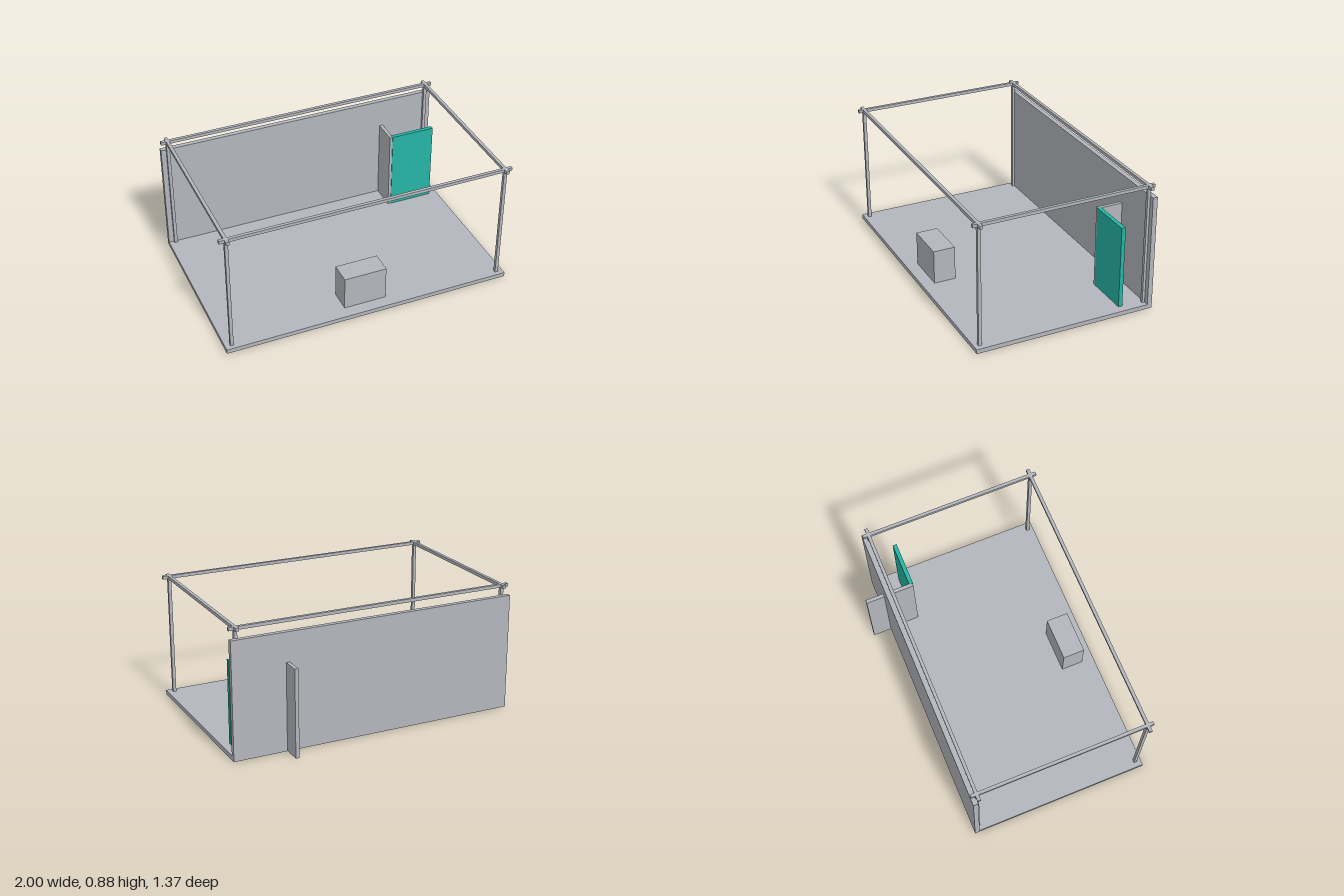
import * as THREE from 'three';

export function createModel() {
  const group = new THREE.Group();
  const grey = new THREE.MeshStandardMaterial({ name: 'light grey', color: 0xb3b6bc });
  const teal = new THREE.MeshStandardMaterial({ name: 'teal', color: 0x26b5a4 });

  // Box given by its lower and upper limits on each axis
  function slab(name, [x0, x1], [y0, y1], [z0, z1], material = grey) {
    const mesh = new THREE.Mesh(new THREE.BoxGeometry(x1 - x0, y1 - y0, z1 - z0), material);
    mesh.position.set((x0 + x1) / 2, (y0 + y1) / 2, (z0 + z1) / 2);
    mesh.name = name;
    group.add(mesh);
  }
  const around = (c, half = 0.011) => [c - half, c + half];

  const depth = [-0.56, 0.687];
  const floorTop = 0.03;
  const beamY = [0.853, 0.875];

  // Platform and back wall
  slab('floor', [-1, 1], [0, floorTop], depth);
  slab('backWall', [-1, 1], [floorTop, 0.8], [-0.56, -0.527]);

  // Frame: posts and beams that cross at the corners
  const frameX = [-0.954, 0.954];
  const frameZ = [-0.52, 0.647];
  for (const x of frameX) {
    slab('sideBeam', around(x), beamY, depth);
    for (const z of frameZ) slab('post', around(x), [floorTop, beamY[0]], around(z));
  }
  for (const z of frameZ) slab('crossBeam', [-1, 1], beamY, around(z));

  // Storage corner: partition through the wall and coloured door
  slab('partition', [0.61, 0.635], [0.001, 0.6], [-0.687, -0.349]);
  slab('door', [0.63, 0.943], [0.002, 0.602], [-0.373, -0.345], teal);

  // Counter near the front edge
  slab('counter', [-0.15, 0.147], [floorTop, 0.267], [0.45, 0.602]);

  return group;
}
